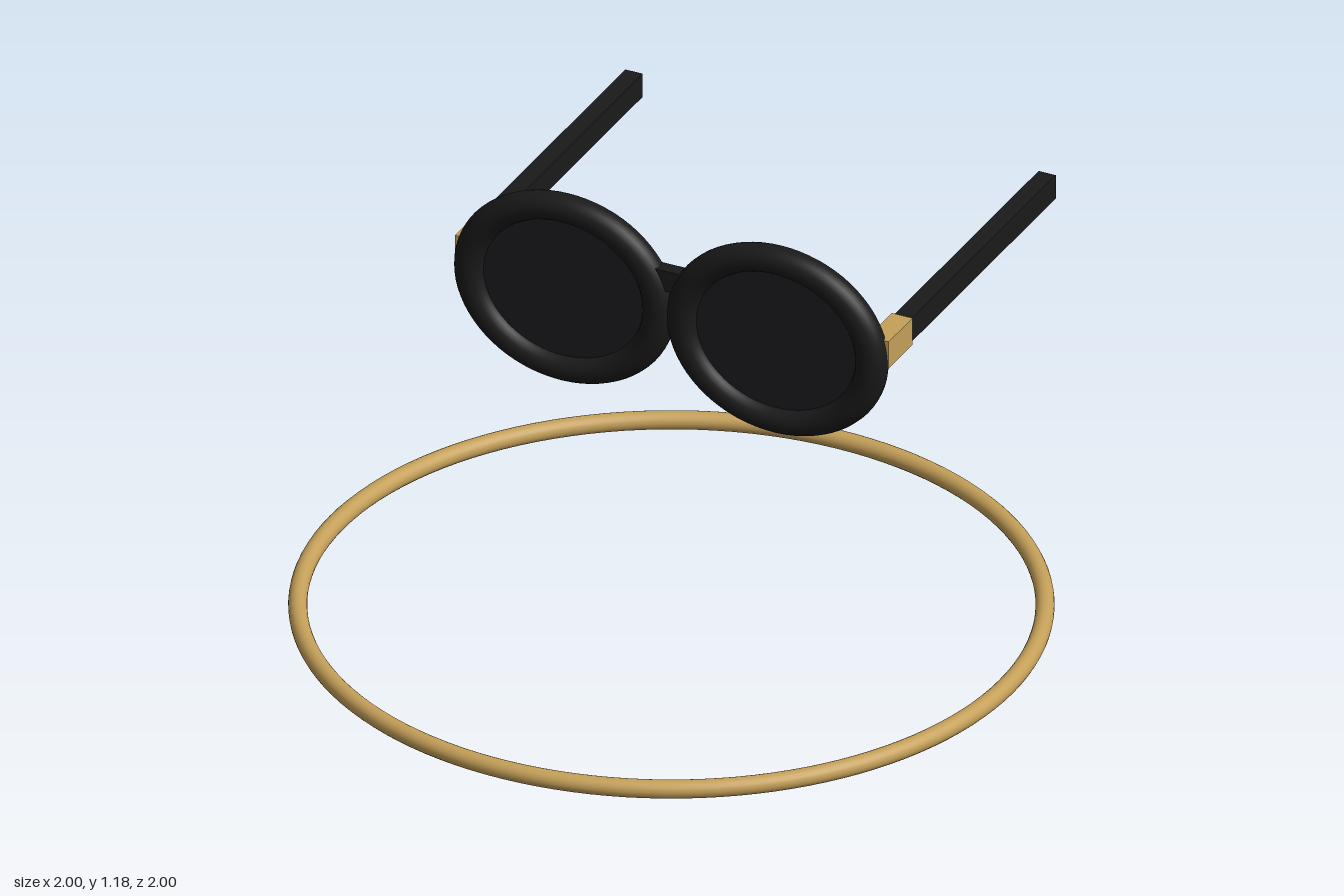
import * as THREE from 'three';

export function createModel() {
  const model = new THREE.Group();
  const black = new THREE.MeshStandardMaterial({ color: 0x1a1a1a });
  const dark = new THREE.MeshStandardMaterial({ color: 0x1b1b20 });
  const gold = new THREE.MeshStandardMaterial({ color: 0xc5a059 });

  const add = (name, geometry, material, x, y, z) => {
    const mesh = new THREE.Mesh(geometry, material);
    mesh.name = name;
    mesh.position.set(x, y, z);
    model.add(mesh);
    return mesh;
  };

  // Thin ring lying on the ground
  const ring = new THREE.TorusGeometry(0.975, 0.025, 20, 128).rotateX(Math.PI / 2);
  add('baseRing', ring, gold, 0, 0.025, 0);

  // Oval rims and lenses, wider than tall
  const rim = new THREE.TorusGeometry(0.25, 0.04, 24, 72).scale(1.1, 0.95, 1);
  const lens = new THREE.CylinderGeometry(0.25, 0.25, 0.02, 64)
    .rotateX(Math.PI / 2).scale(1.1, 0.95, 1);

  // Square temple arms with metal hinge blocks
  const hinge = new THREE.BoxGeometry(0.06, 0.08, 0.14);
  const arm = new THREE.BoxGeometry(0.05, 0.07, 0.85);

  for (const [side, s] of [['left', 1], ['right', -1]]) {
    add(side + 'Rim', rim, black, s * 0.31, 0.9, 0);
    add(side + 'Lens', lens, dark, s * 0.31, 0.9, 0);
    add(side + 'Hinge', hinge, gold, s * 0.602, 0.932, -0.072);
    add(side + 'Arm', arm, black, s * 0.602, 0.932, -0.567);
  }

  // Bridge between the rims
  add('bridge', new THREE.BoxGeometry(0.16, 0.06, 0.04), black, 0, 1.003, 0);

  return model;
}
